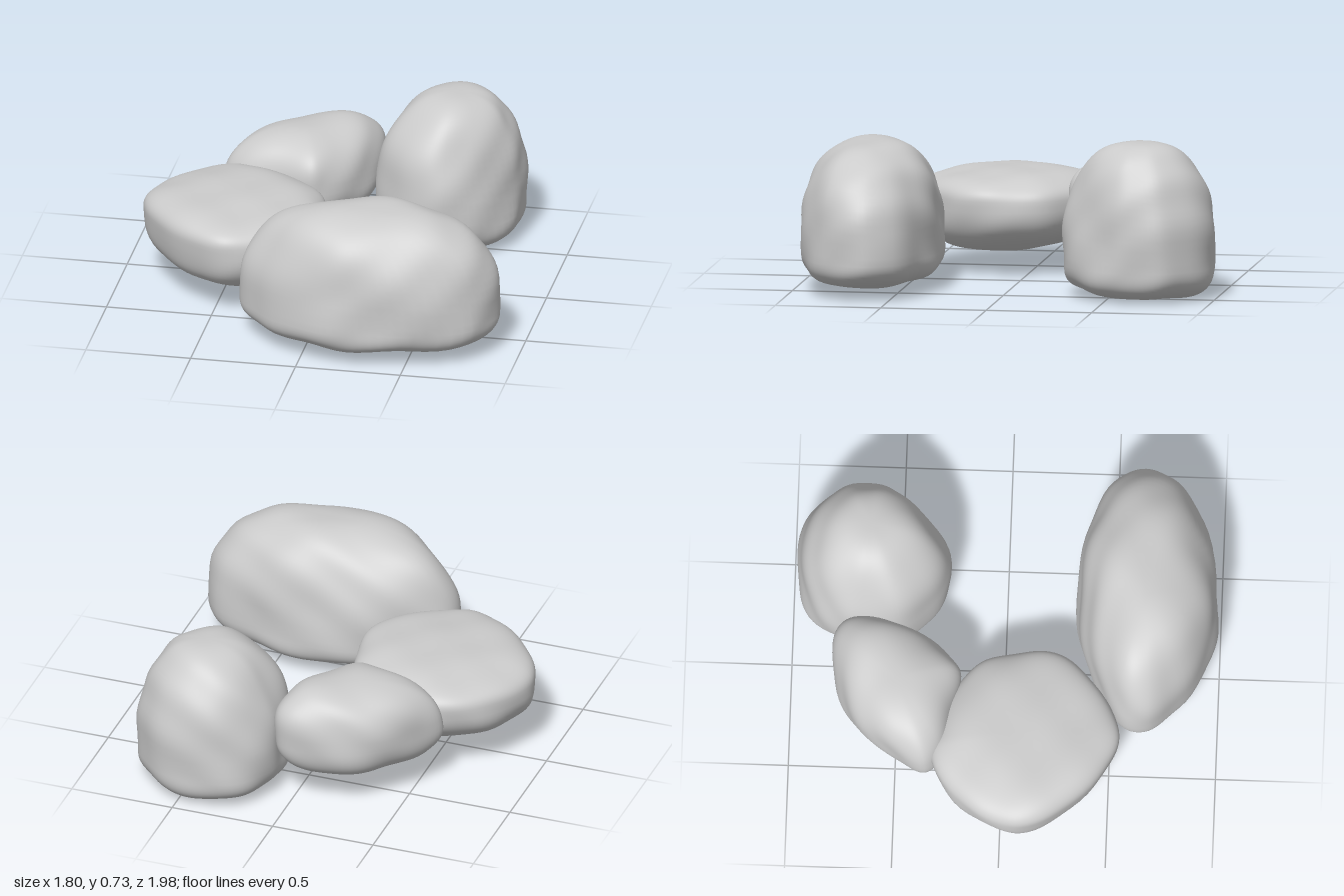
import * as THREE from 'three';
import { mergeVertices } from 'three/addons/utils/BufferGeometryUtils.js';

const stone = new THREE.MeshStandardMaterial({ color: 0xcccccc });

// A boulder: a plan outline of [x, z] points, running from the -x end past +z,
// rounded off above and below its widest level by superelliptic sections.
function makeRock({ name, plan, base, widest, top, nTop, nBase, lean = [0, 0], tilt = [0, 0], baseTilt = [0, 0], bump = 0.012, seed }) {
  const curve = new THREE.CatmullRomCurve3(plan.map(([x, z]) => new THREE.Vector3(x, 0, z)), true, 'centripetal');
  const box = new THREE.Box3().setFromPoints(curve.getPoints(100));
  const c = box.getCenter(new THREE.Vector3());
  const geo = new THREE.SphereGeometry(1, 80, 48);
  const pos = geo.attributes.position, uv = geo.attributes.uv;
  const edge = new THREE.Vector3();

  for (let i = 0; i < pos.count; i++) {
    const lat = (uv.getY(i) - 0.5) * Math.PI;
    const upper = lat >= 0;
    const n = upper ? nTop : nBase;
    const pole = Math.abs(pos.getY(i)) > 0.99999;
    const r = pole ? 0 : Math.pow(Math.max(Math.cos(lat), 0), 2 / n);
    const v = Math.pow(Math.abs(Math.sin(lat)), 2 / n);
    // poles carry half-step u values, harmless because r is 0 there
    curve.getPoint(((uv.getX(i) % 1) + 1) % 1, edge);
    const shift = upper ? 1 - r : 0;
    let x = c.x + (edge.x - c.x) * r + lean[0] * shift;
    let z = c.z + (edge.z - c.z) * r + lean[1] * shift;
    const slope = upper ? tilt : baseTilt;
    let y = widest + (upper ? top - widest : base - widest) * v
      + (slope[0] * (x - c.x) + slope[1] * (z - c.z)) * v;

    // soft weathered dents, strongest on the flanks
    const a = Math.sin(9 * x + 5 * y + seed) * Math.sin(8 * z - 7 * y + seed * 2.1);
    const b = Math.sin(15 * x - 13 * y + seed * 1.7) * Math.sin(17 * z + 11 * y + seed);
    const d = bump * (a + 0.6 * b);
    const len = Math.hypot(x - c.x, z - c.z) || 1;
    x += (x - c.x) / len * d * r;
    z += (z - c.z) / len * d * r;
    y += d * v * (upper ? 0.7 : -0.7);
    pos.setXYZ(i, x, Math.max(y, 0), z);
  }
  geo.deleteAttribute('uv');
  geo.deleteAttribute('normal');
  const smooth = mergeVertices(geo, 1e-5);
  smooth.computeVertexNormals();
  const mesh = new THREE.Mesh(smooth, stone);
  mesh.name = name;
  return mesh;
}

export function createModel() {
  const group = new THREE.Group();
  group.name = 'rockCluster';

  // long boulder lying across the front
  group.add(makeRock({
    name: 'frontLongRock', seed: 1.3,
    plan: [[-0.33, 0.6], [-0.32, 0.7], [-0.2, 0.82], [0, 0.94], [0.15, 0.985], [0.3, 0.985], [0.55, 0.94],
      [0.8, 0.82], [0.88, 0.7], [0.89, 0.58], [0.8, 0.45], [0.6, 0.365], [0.35, 0.33], [0.1, 0.345], [-0.1, 0.41], [-0.28, 0.52]],
    base: 0.05, widest: 0.22, top: 0.71, nTop: 2.6, nBase: 3.5, lean: [-0.12, 0], tilt: [0.07, 0],
  }));

  // tall domed boulder at the back
  group.add(makeRock({
    name: 'backTallRock', seed: 4.1,
    plan: [[0.08, -0.63], [0.1, -0.48], [0.22, -0.33], [0.35, -0.265], [0.45, -0.27], [0.6, -0.36], [0.74, -0.55],
      [0.76, -0.65], [0.75, -0.8], [0.63, -0.92], [0.45, -0.99], [0.28, -0.97], [0.15, -0.88], [0.08, -0.75]],
    base: 0.015, widest: 0.2, top: 0.74, nTop: 2.5, nBase: 3.6, lean: [0.04, -0.02], tilt: [0.06, 0],
  }));

  // flat-topped slab with an undercut rim
  group.add(makeRock({
    name: 'flatSideRock', seed: 2.6, bump: 0.009,
    plan: [[-0.91, 0.1], [-0.8, 0.3], [-0.6, 0.49], [-0.45, 0.545], [-0.3, 0.5], [-0.1, 0.35], [-0.035, 0.2],
      [-0.035, 0.05], [-0.08, -0.1], [-0.2, -0.21], [-0.45, -0.32], [-0.55, -0.34], [-0.75, -0.23], [-0.87, -0.05]],
    base: 0.1, widest: 0.35, top: 0.485, nTop: 2.9, nBase: 2.6, baseTilt: [0, -0.08],
  }));

  // smaller boulder bridging the slab and the tall one
  group.add(makeRock({
    name: 'backSmallRock', seed: 5.7,
    plan: [[-0.61, -0.36], [-0.53, -0.28], [-0.35, -0.23], [-0.17, -0.2], [-0.1, -0.24], [0.05, -0.42], [0.11, -0.6],
      [0.08, -0.75], [0, -0.805], [-0.2, -0.785], [-0.4, -0.68], [-0.55, -0.5]],
    base: 0.14, widest: 0.34, top: 0.58, nTop: 2.7, nBase: 2.6, tilt: [0.1, 0],
  }));
  return group;
}
